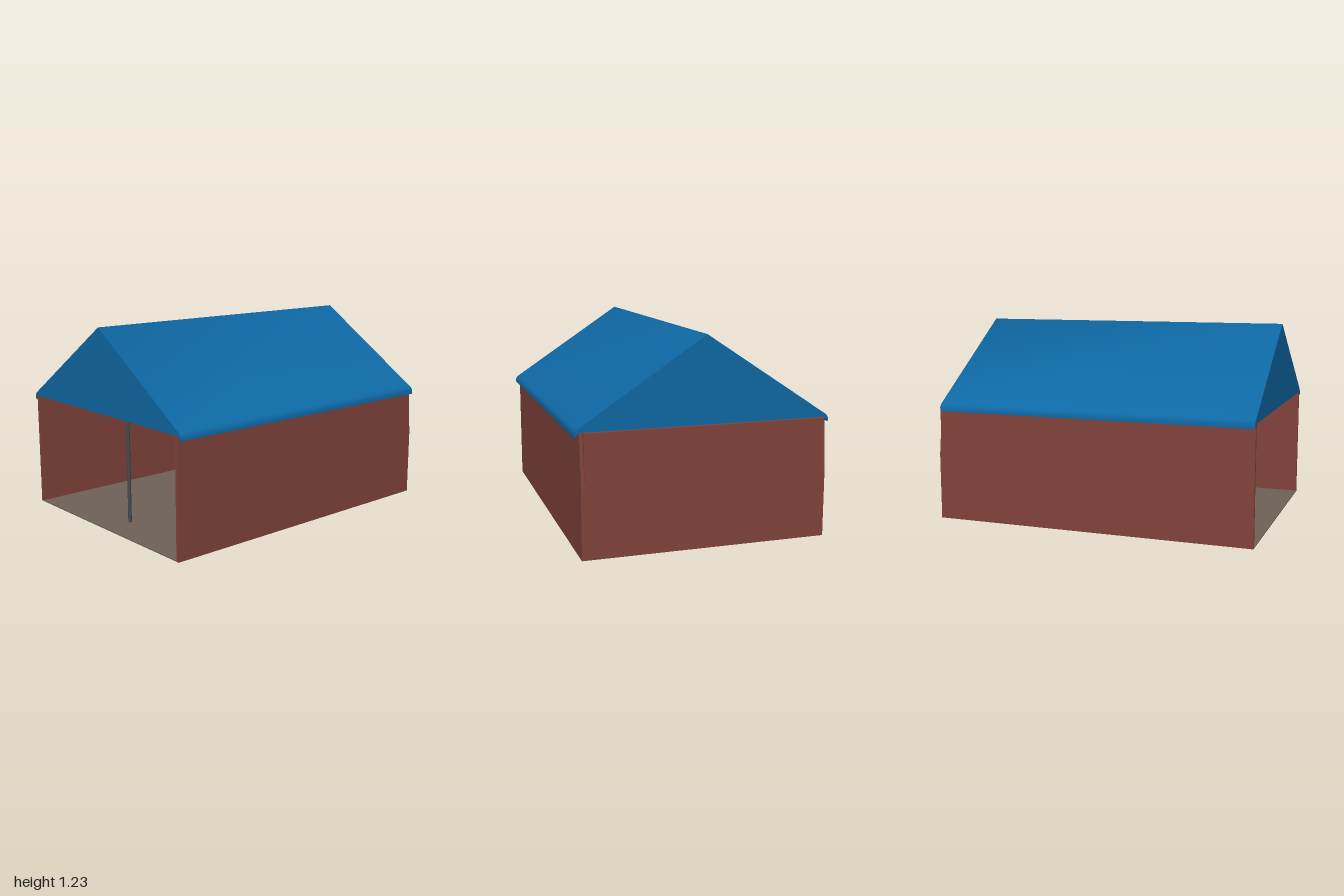
import * as THREE from 'three';
import { toCreasedNormals } from 'three/addons/utils/BufferGeometryUtils.js';

const mat = (color) => new THREE.MeshStandardMaterial({ color });
const brick = mat(0x80433a);
const roofBlue = mat(0x0e68a4);
const floorStone = mat(0x6e6157);
const steel = mat(0x454b4d);

const shapeOf = (points) => new THREE.Shape(points.map(([x, y]) => new THREE.Vector2(x, y)));
const extrude = (points, depth) =>
  new THREE.ExtrudeGeometry(shapeOf(points), { depth, bevelEnabled: false });

export function createModel() {
  const group = new THREE.Group();
  const add = (name, geometry, material, x = 0, y = 0, z = 0) => {
    const mesh = new THREE.Mesh(geometry, material);
    mesh.name = name;
    mesh.position.set(x, y, z);
    group.add(mesh);
    return mesh;
  };

  // Floor slab, flush with the underside of the walls
  add('floor', new THREE.BoxGeometry(1.43, 0.006, 1.975), floorStone, 0, 0.013, 0.0125);

  // Side walls: the upper rear corner is cut back at a slant
  const sideProfile = [[-1, 0.01], [1, 0.01], [1, 0.42], [0.975, 0.725], [-1, 0.725]];
  for (const [name, x] of [['leftWall', 0.71], ['rightWall', -0.735]]) {
    const wall = extrude(sideProfile, 0.02);
    wall.rotateY(Math.PI / 2); // profile x becomes -z, depth becomes +x
    add(name, wall, brick, x);
  }

  // Back wall between the side walls; the front stays open
  add('backWall', new THREE.BoxGeometry(1.425, 0.715, 0.025), brick, -0.0025, 0.3675, -0.9875);

  // Gable roof with small drooping eaves
  const half = [[0.733, 0.748], [0.748, 0.737], [0.757, 0.722], [0.757, 0.697], [0.745, 0.712], [0.725, 0.722]];
  const mirrored = half.map(([x, y]) => [-x, y]).reverse();
  const roof = extrude([[0, 1.233], ...half, ...mirrored], 1.975);
  add('roof', toCreasedNormals(roof, THREE.MathUtils.degToRad(70)), roofBlue, 0, 0, -0.975);

  // Row of posts along the middle
  for (const z of [0.82, 0.125, -0.525]) {
    add('post', new THREE.CylinderGeometry(0.011, 0.011, 0.725, 12), steel, 0.018, 0.3625, z);
  }

  return group;
}
